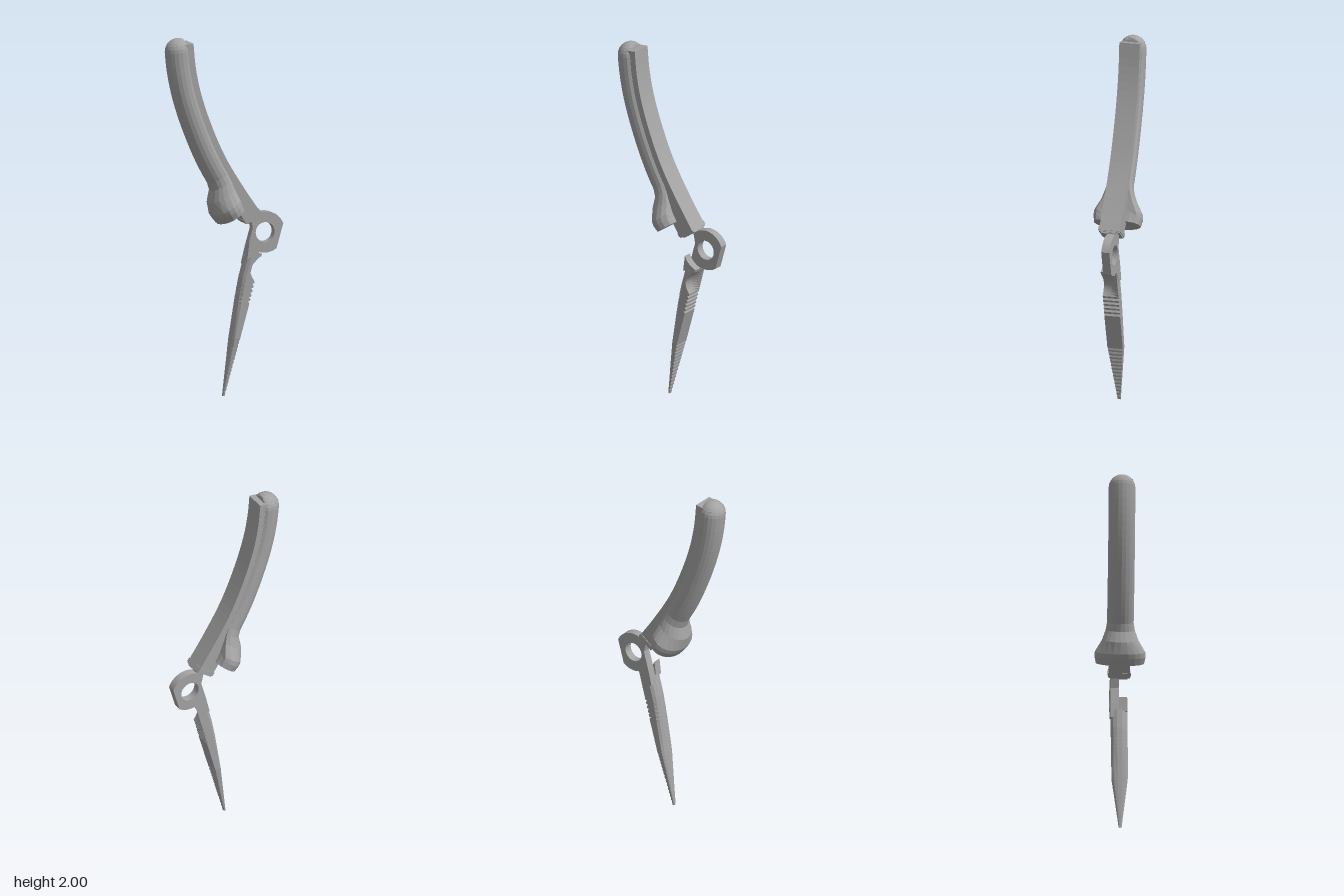
import * as THREE from 'three';

const steel = new THREE.MeshStandardMaterial({ color: 0xa3a3a3 });
steel.name = 'grey steel';

const V = (x, y, z) => new THREE.Vector3(x, y, z);

// Closed solid through matching rings of points, flat shaded and facing outward
function loft(name, rings) {
  const n = rings[0].length;
  const tris = [];
  for (let i = 0; i < rings.length - 1; i++) {
    for (let j = 0; j < n; j++) {
      const k = (j + 1) % n;
      const a = rings[i][j], b = rings[i][k], c = rings[i + 1][k], d = rings[i + 1][j];
      tris.push([a, b, c], [a, c, d]);
    }
  }
  const cap = (ring, flip) => {
    const mid = ring.reduce((s, p) => s.add(p), V(0, 0, 0)).divideScalar(n);
    ring.forEach((p, j) => {
      const q = ring[(j + 1) % n];
      tris.push(flip ? [mid, q, p] : [mid, p, q]);
    });
  };
  cap(rings[0], true);
  cap(rings[rings.length - 1], false);
  let volume = 0;
  for (const [a, b, c] of tris) volume += a.dot(b.clone().cross(c));
  const points = tris.flatMap(([a, b, c]) => (volume < 0 ? [a, c, b] : [a, b, c]));
  const geometry = new THREE.BufferGeometry().setFromPoints(points);
  geometry.computeVertexNormals();
  const mesh = new THREE.Mesh(geometry, steel);
  mesh.name = name;
  return mesh;
}

// Flat plate cut from a shape, between two z values
function plate(name, shape, z0, z1) {
  const geometry = new THREE.ExtrudeGeometry(shape, { depth: z1 - z0, bevelEnabled: false, curveSegments: 16 });
  geometry.translate(0, 0, z0);
  const mesh = new THREE.Mesh(geometry, steel);
  mesh.name = name;
  return mesh;
}

// Inner edge of the curved handle, from top to pivot
const spine = new THREE.CatmullRomCurve3([
  V(-0.2, 1.97, 0), V(-0.187, 1.84, 0), V(-0.158, 1.7, 0), V(-0.1, 1.526, 0),
  V(-0.016, 1.336, 0), V(0.09, 1.161, 0), V(0.195, 1.008, 0)
]);
const L = spine.getLength();

// Point at distance s along the spine, d outward from it and z sideways
function onHandle(s, d, z) {
  const t = THREE.MathUtils.clamp(s / L, 0, 1);
  const tangent = spine.getTangentAt(t);
  const p = spine.getPointAt(t).addScaledVector(tangent, s - t * L);
  return p.add(V(tangent.y * d, -tangent.x * d, z));
}

// Round grip section, cut flat on the inner side at `cut`
function gripRing(s, centre, rOut, rSide, cut) {
  return Array.from({ length: 20 }, (_, i) => {
    const a = (i / 20) * Math.PI * 2;
    return onHandle(s, Math.max(cut, centre + rOut * Math.cos(a)), rSide * Math.sin(a));
  });
}

function boxBar(name, s0, s1, steps, d0, d1, z0, z1) {
  const rings = [];
  for (let i = 0; i <= steps; i++) {
    const s = s0 + ((s1 - s0) * i) / steps;
    rings.push([onHandle(s, d0, z0), onHandle(s, d0, z1), onHandle(s, d1, z1), onHandle(s, d1, z0)]);
  }
  return loft(name, rings);
}

function makeGrip() {
  const r = 0.073, rings = [];
  // domed end
  for (let i = 0; i <= 6; i++) {
    const a = (i / 6) * Math.PI / 2;
    const rr = Math.max(0.002, r * Math.sin(a));
    rings.push(gripRing(0.04 - r * Math.cos(a), 0.072, rr, rr, 0.035));
  }
  // long curved body
  const end = L - 0.09, bodyEnd = end - 0.21;
  for (let i = 1; i <= 18; i++) {
    rings.push(gripRing(0.04 + ((bodyEnd - 0.04) * i) / 18, 0.072, r, r, 0.035));
  }
  // flared finger guard: distance before end, centre, outer radius, half width, cut
  [[0.17, 0.078, 0.077, 0.08, 0.04], [0.12, 0.105, 0.098, 0.1, 0.052], [0.06, 0.125, 0.1, 0.138, 0.065],
    [0.035, 0.13, 0.095, 0.14, 0.068], [0, 0.132, 0.09, 0.132, 0.07]]
    .forEach(([b, c, ro, w, cut]) => rings.push(gripRing(end - b, c, ro, w, cut)));
  return loft('grip', rings);
}

// Pivot plate with hole, neck and one flat side
const PIVOT = [0.24, 0.892], R = 0.114;
function makePivot() {
  const s = new THREE.Shape();
  s.moveTo(0.15, 1.0);
  s.lineTo(0.165, 1.04);
  s.lineTo(0.195, 1.003);
  const rad = THREE.MathUtils.degToRad;
  s.absarc(...PIVOT, R, rad(113), rad(22), true);
  s.absarc(...PIVOT, R, rad(-54), rad(-108), true);
  s.lineTo(0.16, 0.72);
  s.lineTo(0.115, 0.72);
  s.lineTo(0.137, 0.81);
  s.lineTo(0.168, 0.918);
  const hole = new THREE.Path();
  hole.absarc(...PIVOT, 0.055, 0, Math.PI * 2, false);
  s.holes.push(hole);
  return plate('pivotPlate', s, -0.047, -0.001);
}

// Shoulder hollowed to clear the mating pivot
function makeShoulder() {
  const s = new THREE.Shape();
  s.moveTo(0.12, 0.76);
  s.lineTo(0.2, 0.765);
  s.absarc(...PIVOT, R + 0.003, -1.87, -2.76, true);
  s.closePath();
  return plate('jawShoulder', s, -0.001, 0.044);
}

// Tapered jaw with scooped cutter, coarse gripping teeth and fine tip serrations
function makeJaw() {
  const lerp = (table, y) => {
    let i = 0;
    while (i < table.length - 2 && y > table[i + 1][0]) i++;
    const [[y0, x0], [y1, x1]] = [table[i], table[i + 1]];
    return x0 + ((x1 - x0) * (y - y0)) / (y1 - y0);
  };
  const left = [[0, -0.011], [0.31, 0.032], [0.52, 0.064], [0.65, 0.088], [0.77, 0.121]];
  const right = [[0, 0], [0.31, 0.075], [0.495, 0.127], [0.63, 0.162], [0.77, 0.2]];
  const half = [[0, 0.008], [0.33, 0.045], [0.77, 0.045]];
  const rows = [[0, 0, 0]]; // height, tooth depth, scoop depth
  const teeth = (y0, y1, count, depth) => {
    const p = (y1 - y0) / count;
    for (let i = 0; i < count; i++) rows.push([y0 + p * i, 0, 0], [y0 + p * (i + 0.5), depth, 0], [y0 + p * (i + 0.55), 0, 0]);
    rows.push([y1, 0, 0]);
  };
  teeth(0.015, 0.32, 14, 0.004);
  teeth(0.51, 0.63, 5, 0.011);
  for (let i = 1; i <= 10; i++) rows.push([0.63 + 0.014 * i, 0, 0.042 * Math.sin((Math.PI * i) / 10)]);
  return loft('jaw', rows.map(([y, tooth, scoop]) => {
    const xl = lerp(left, y), xr = lerp(right, y) - tooth, w = lerp(half, y), t = xr - xl;
    return [
      V(xr - scoop, y, w), V(xl + t * 0.3, y, w), V(xl + t * 0.1, y, w * 0.75), V(xl, y, w * 0.3),
      V(xl, y, -w * 0.3), V(xl + t * 0.1, y, -w * 0.75), V(xl + t * 0.3, y, -w),
      V(xr, y, -w), V(xr - scoop * 0.75, y, 0)
    ];
  }));
}

export function createModel() {
  const model = new THREE.Group();
  model.name = 'plierHalf';
  model.add(
    makeGrip(),
    boxBar('handleCore', 0, L, 24, 0, 0.1, -0.058, 0.058),
    boxBar('handleCollar', L - 0.03, L - 0.008, 1, -0.003, 0.103, -0.062, 0.062),
    boxBar('handleTongue', L - 0.02, L + 0.008, 1, 0.004, 0.09, 0, 0.045),
    makePivot(),
    makeShoulder(),
    makeJaw()
  );
  return model;
}
